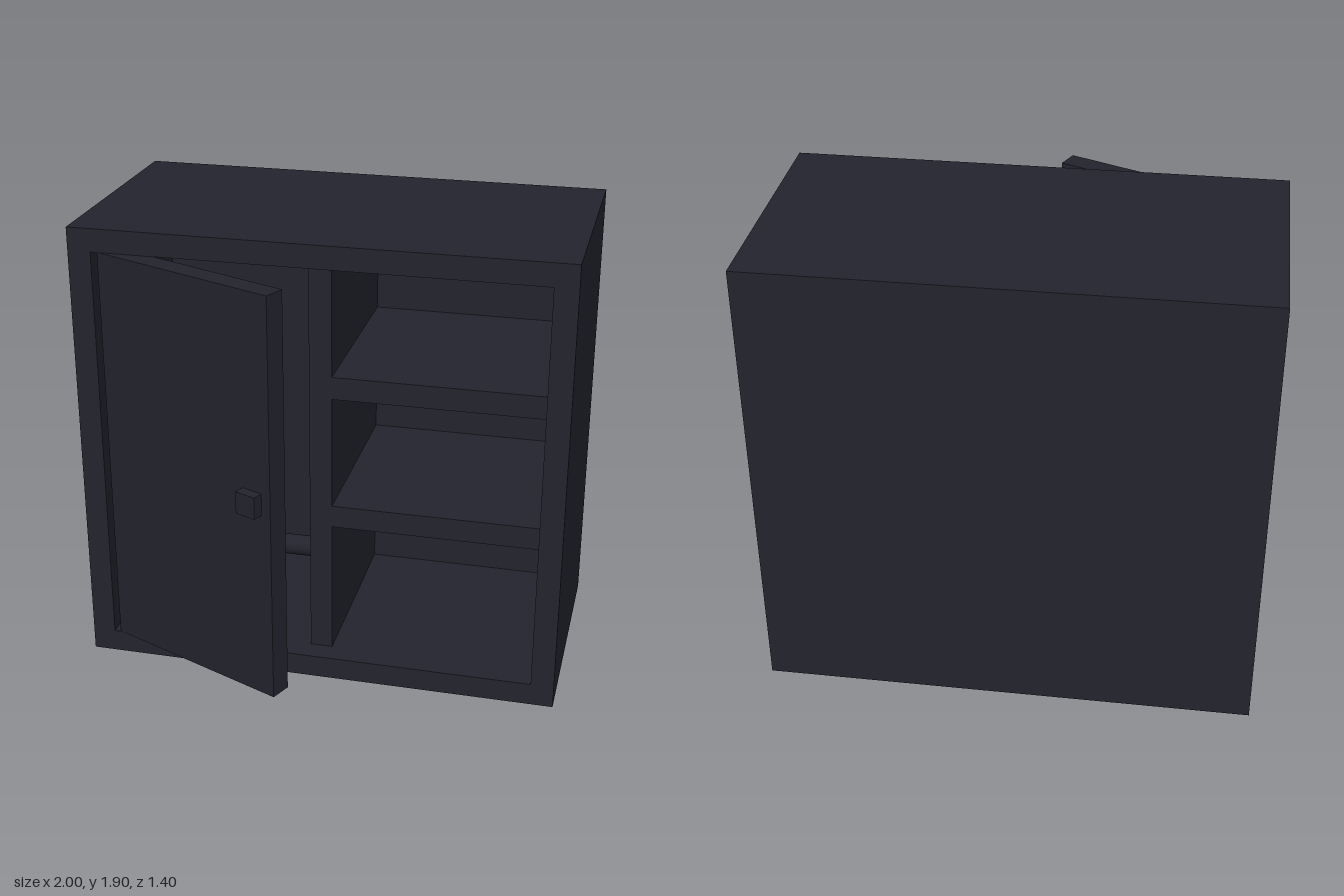
import * as THREE from 'three';

export function createModel() {
  const model = new THREE.Group();
  model.name = 'cabinet';
  const charcoal = new THREE.MeshStandardMaterial({ color: 0x23232e });
  charcoal.name = 'charcoal';

  // Box given by its low and high corner on each axis
  function box(name, [x0, x1], [y0, y1], [z0, z1], parent = model) {
    const mesh = new THREE.Mesh(new THREE.BoxGeometry(x1 - x0, y1 - y0, z1 - z0), charcoal);
    mesh.position.set((x0 + x1) / 2, (y0 + y1) / 2, (z0 + z1) / 2);
    mesh.name = name;
    parent.add(mesh);
    return mesh;
  }

  const H = 1.905, T = 0.095, back = -0.7, front = 0.34;
  const inner = 1 - T, wall = back + T, recess = 0.245;

  // Outer case: one rectangular ring extruded front to back
  const outline = new THREE.Shape([[-1, 0], [1, 0], [1, H], [-1, H]].map(p => new THREE.Vector2(...p)));
  outline.holes.push(new THREE.Path(
    [[-inner, T], [-inner, H - T], [inner, H - T], [inner, T]].map(p => new THREE.Vector2(...p))));
  const shell = new THREE.Mesh(
    new THREE.ExtrudeGeometry(outline, { depth: front - back, bevelEnabled: false }), charcoal);
  shell.position.z = back;
  shell.name = 'outerCase';
  model.add(shell);
  box('backPanel', [-inner, inner], [T, H - T], [back, wall]);

  // Divider and the two shelves, set back from the front edge
  box('divider', [-0.05, 0.043], [T, H - T], [wall, recess]);
  for (const y of [0.67, 1.24]) box('shelf', [0.043, inner], [y, y + T], [wall, recess]);

  // Round rail across the closed compartment
  const rail = new THREE.Mesh(new THREE.CylinderGeometry(0.045, 0.045, 0.855, 24), charcoal);
  rail.rotation.z = Math.PI / 2;
  rail.position.set(-0.4775, 0.335, -0.18);
  rail.name = 'rail';
  model.add(rail);

  // Door standing ajar, turned about its left front corner, with a square knob
  const door = new THREE.Group();
  door.name = 'door';
  const L = 0.855;
  box('doorPanel', [0, L], [T, H - T], [-0.092, 0], door);
  box('doorKnob', [L - 0.136, L - 0.043], [0.907, 1.0], [0, 0.044], door);
  door.position.set(-0.879, 0, 0.337);
  door.rotation.y = -THREE.MathUtils.degToRad(23.5);
  model.add(door);

  return model;
}
